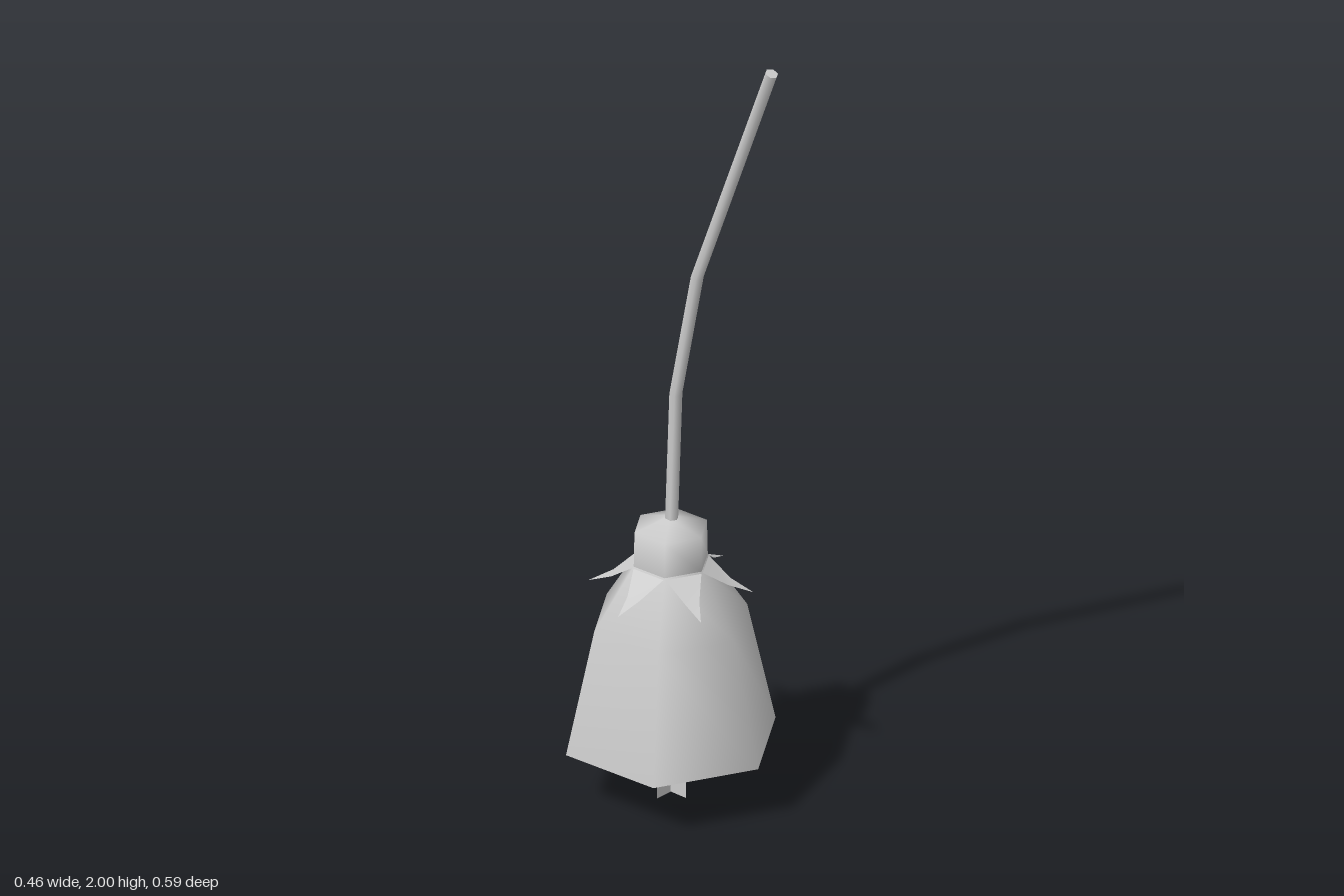
import * as THREE from 'three';

const TURN = THREE.MathUtils.degToRad(3.3);
const CENTRE_Z = -0.037;

// Six-sided smooth surface of revolution from [radius, height] pairs
function hexLathe(profile, material, name) {
  const points = profile.map(([r, y]) => new THREE.Vector2(r, y));
  const mesh = new THREE.Mesh(new THREE.LatheGeometry(points, 6), material);
  mesh.rotation.y = TURN;
  mesh.name = name;
  return mesh;
}

// Six-sided bent rod through [height, z] points, mitred at the bends
function bentRod(path, radius) {
  const pos = [], index = [];
  path.forEach(([y, z], i) => {
    const a = path[Math.max(i - 1, 0)], b = path[Math.min(i + 1, path.length - 1)];
    const len = Math.hypot(b[0] - a[0], b[1] - a[1]);
    const ty = (b[0] - a[0]) / len, tz = (b[1] - a[1]) / len;
    for (let k = 0; k < 6; k++) {
      const t = k * Math.PI / 3;
      const u = Math.cos(t) * radius;
      pos.push(Math.sin(t) * radius, y - u * tz, z + u * ty);
      if (i) {
        const p = (i - 1) * 6 + k, q = (i - 1) * 6 + (k + 1) % 6;
        index.push(p, q, p + 6, q, q + 6, p + 6);
      }
    }
  });
  // Separate cap ring keeps the cut end flat
  const last = (path.length - 1) * 6, cap = path.length * 6;
  pos.push(...pos.slice(last * 3));
  for (let k = 1; k < 5; k++) index.push(cap, cap + k, cap + k + 1);
  const g = new THREE.BufferGeometry();
  g.setAttribute('position', new THREE.Float32BufferAttribute(pos, 3));
  g.setIndex(index);
  g.computeVertexNormals();
  return g;
}

// One pointed sepal, reaching out along +x
function sepalGeometry() {
  const g = new THREE.BufferGeometry();
  g.setAttribute('position', new THREE.Float32BufferAttribute([
    0.079, 0.605, -0.046, 0.079, 0.605, 0.046,
    0.137, 0.562, -0.018, 0.137, 0.562, 0.018,
    0.194, 0.538, 0,
  ], 3));
  g.setIndex([0, 1, 3, 0, 3, 2, 2, 3, 4]);
  g.computeVertexNormals();
  return g;
}

export function createModel() {
  const grey = new THREE.MeshStandardMaterial({ color: 0xcccccc, side: THREE.DoubleSide });
  grey.name = 'pale grey';

  const model = new THREE.Group();
  model.name = 'bellFlower';
  const flower = new THREE.Group();
  flower.name = 'flowerHead';
  flower.position.z = CENTRE_Z;
  model.add(flower);

  // Hanging bell, open below
  flower.add(hexLathe([[0.26, 0.145], [0.19, 0.455], [0.092, 0.607]], grey, 'bell'));

  // Collar above the bell, with a shallow conical top
  flower.add(hexLathe([[0.092, 0.605], [0.09, 0.695], [0.014, 0.72], [0, 0.72]], grey, 'collar'));

  // Ring of sepals between the bell corners
  const sepals = new THREE.Group();
  sepals.name = 'sepals';
  const sepal = sepalGeometry();
  for (let i = 0; i < 6; i++) {
    const mesh = new THREE.Mesh(sepal, grey);
    mesh.name = 'sepal';
    mesh.rotation.y = TURN + i * Math.PI / 3;
    sepals.add(mesh);
  }
  flower.add(sepals);

  // Pistil made of two crossed flat blades
  const blade = new THREE.Shape([
    [-0.047, 0], [0.047, 0], [0.047, 0.095], [0.015, 0.095],
    [0.015, 0.6], [-0.015, 0.6], [-0.015, 0.095], [-0.047, 0.095],
  ].map(([x, y]) => new THREE.Vector2(x, y)));
  const bladeGeometry = new THREE.ShapeGeometry(blade);
  for (let i = 0; i < 2; i++) {
    const mesh = new THREE.Mesh(bladeGeometry, grey);
    mesh.name = 'pistilBlade';
    mesh.rotation.y = i * Math.PI / 2;
    flower.add(mesh);
  }

  // Bent stem
  const stem = new THREE.Mesh(
    bentRod([[0.7, -0.035], [1.05, -0.021], [1.38, 0.046], [1.994, 0.278]], 0.016), grey);
  stem.name = 'stem';
  model.add(stem);

  return model;
}
